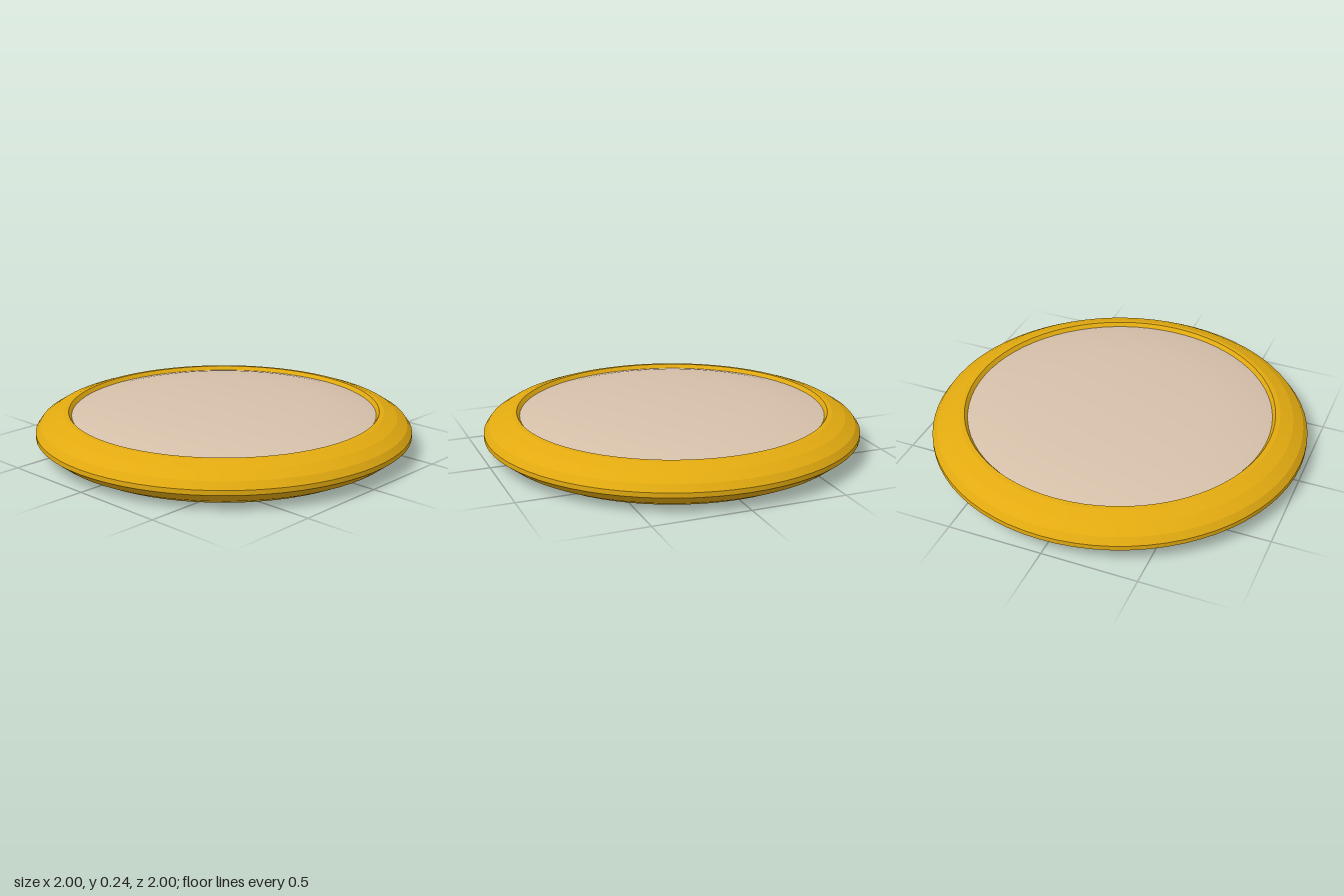
import * as THREE from 'three';
import { toCreasedNormals } from 'three/addons/utils/BufferGeometryUtils.js';

const gold = new THREE.MeshStandardMaterial({ color: 0xe2aa10 });
gold.name = 'gold';
const beige = new THREE.MeshStandardMaterial({ color: 0xd6c0aa });
beige.name = 'beige';

// Round part turned from a [radius, height] profile, smooth around, creased between bands
function turned(name, profile, material) {
  const points = profile.map(([r, y]) => new THREE.Vector2(r, y));
  const geometry = toCreasedNormals(new THREE.LatheGeometry(points, 72), 0.16);
  const mesh = new THREE.Mesh(geometry, material);
  mesh.name = name;
  return mesh;
}

export function createModel() {
  const group = new THREE.Group();
  group.name = 'roundDisc';

  // Flat underside, rounded outer rim and the bevel dropping to the inset
  group.add(turned('rim', [
    [0, 0], [0.86, 0], [0.93, 0.035], [1, 0.09], [1, 0.115],
    [0.975, 0.15], [0.92, 0.185], [0.85, 0.21], [0.825, 0.212], [0.805, 0.185],
  ], gold));

  // Shallow domed inset
  group.add(turned('domedInset', [
    [0.81, 0.191], [0.74, 0.207], [0.49, 0.239], [0, 0.244],
  ], beige));

  return group;
}
